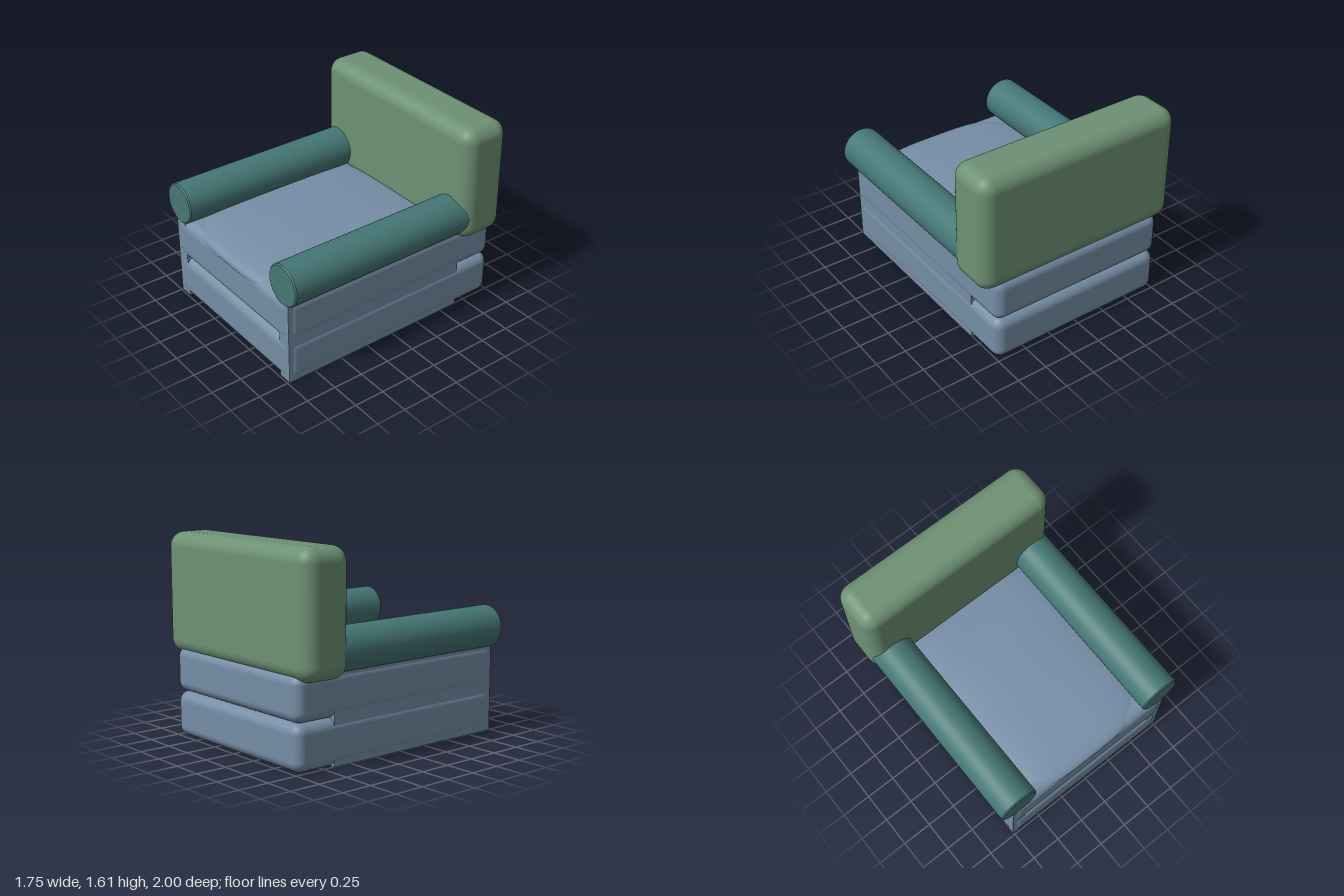
import * as THREE from 'three';
import { RoundedBoxGeometry } from 'three/addons/geometries/RoundedBoxGeometry.js';

export function createModel() {
  const chair = new THREE.Group();
  chair.name = 'armchair';

  const material = (name, color) => {
    const m = new THREE.MeshStandardMaterial({ color });
    m.name = name;
    return m;
  };
  const blue = material('dustyBlue', 0x768ea6);
  const green = material('sageGreen', 0x6d9174);
  const teal = material('deepTeal', 0x457775);

  const add = (name, geometry, mat, x, y, z) => {
    const mesh = new THREE.Mesh(geometry, mat);
    mesh.name = name;
    mesh.position.set(x, y, z);
    chair.add(mesh);
    return mesh;
  };

  // Two stacked soft blocks form the base
  ['lowerBase', 'upperBase'].forEach((name, i) =>
    add(name, new RoundedBoxGeometry(1.526, 0.358, 1.993, 6, 0.08), blue, 0, 0.179 + i * 0.358, -0.0035));

  // Crowned seat cushion: a sphere squared off in plan, softer in height
  const cushion = new THREE.SphereGeometry(1, 64, 40);
  const p = cushion.attributes.position;
  const v = new THREE.Vector3();
  for (let i = 0; i < p.count; i++) {
    v.fromBufferAttribute(p, i);
    const plan = Math.hypot(v.x, v.z);
    const planNorm = Math.pow(v.x ** 4 + v.z ** 4, 0.25) || 1;
    const scale = Math.pow(plan, 0.8) / planNorm;
    p.setXYZ(i, v.x * scale * 0.7, Math.sign(v.y) * Math.pow(Math.abs(v.y), 0.8) * 0.11, v.z * scale * 0.87);
  }
  cushion.computeVertexNormals();
  add('seatCushion', cushion, blue, 0, 0.67, 0.13);

  // Round bolster profile with a small edge bevel
  const r = 0.168, length = 1.74, bevel = 0.01;
  const profile = [
    [0, 0], [r - bevel, 0], [r - bevel, 0], [r, bevel], [r, bevel],
    [r, length - bevel], [r, length - bevel], [r - bevel, length], [r - bevel, length], [0, length],
  ].map(([x, y]) => new THREE.Vector2(x, y));

  for (const [side, s] of [['left', 1], ['right', -1]]) {
    // Flat side panel covering the seam between the blocks
    add(side + 'SidePanel', new THREE.BoxGeometry(0.117, 0.7, 1.64), blue, s * 0.6985, 0.35, 0.165);
    const arm = add(side + 'Armrest', new THREE.LatheGeometry(profile, 48), teal, s * 0.7, 0.848, -0.75);
    arm.rotation.x = Math.PI / 2;
  }

  // Thick padded backrest
  add('backrest', new RoundedBoxGeometry(1.754, 0.955, 0.415, 8, 0.115), green, 0, 1.1325, -0.7925);

  return chair;
}
